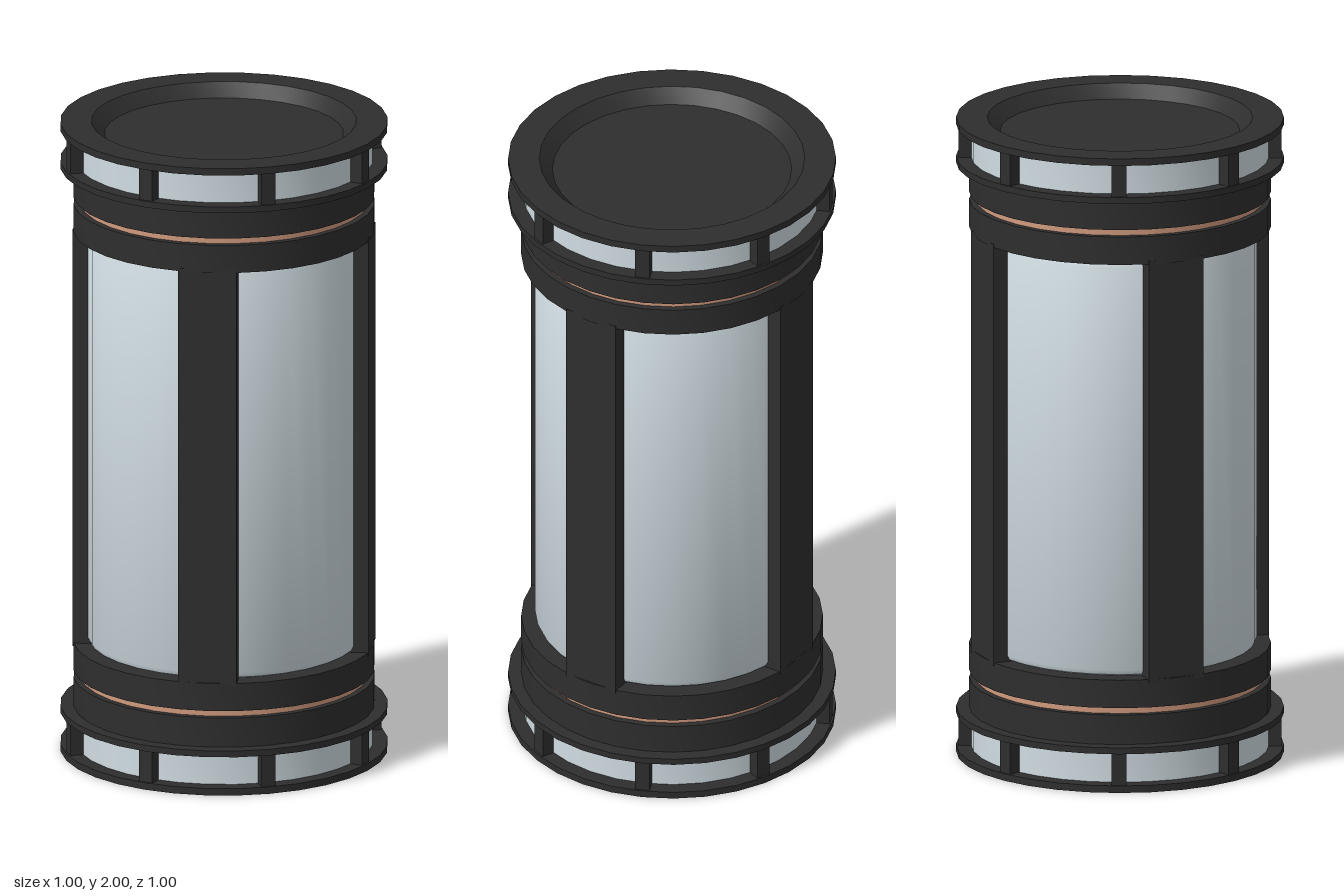
import * as THREE from 'three';
import { toCreasedNormals } from 'three/addons/utils/BufferGeometryUtils.js';

const SIDES = 32;

export function createModel() {
  const dark = new THREE.MeshStandardMaterial({ color: 0x2e2e2e });
  dark.name = 'dark metal';
  const glass = new THREE.MeshStandardMaterial({ color: 0xd0dce2 });
  glass.name = 'pale glass';
  const copper = new THREE.MeshStandardMaterial({ color: 0xd09a7e });
  copper.name = 'copper';

  const add = (parent, name, geometry, material) => {
    const mesh = new THREE.Mesh(geometry, material);
    mesh.name = name;
    parent.add(mesh);
    return mesh;
  };
  // Turned solid from [radius, height] pairs, listed bottom to top
  const turned = (points) => toCreasedNormals(
    new THREE.LatheGeometry(points.map(([r, y]) => new THREE.Vector2(r, y)), SIDES), 0.5);
  const band = (r, y0, y1) => turned([[0, y0], [r, y0], [r, y1], [0, y1]]);

  // One end: dished plate, caged glass band, flange, collars and copper seam
  const makeEnd = (name) => {
    const end = new THREE.Group();
    end.name = name;
    add(end, 'endPlate', turned([
      [0, 0.04], [0.365, 0.04], [0.405, 0], [0.5, 0], [0.5, 0.022], [0.44, 0.022], [0.43, 0.06], [0, 0.06],
    ]), dark);
    add(end, 'glassBand', turned([[0.455, 0.02], [0.455, 0.13]]), glass);
    add(end, 'flange', band(0.5, 0.122, 0.142), dark);
    add(end, 'outerCollar', band(0.46, 0.14, 0.235), dark);
    add(end, 'copperSeam', band(0.44, 0.23, 0.262), copper);
    add(end, 'innerCollar', band(0.46, 0.257, 0.345), dark);

    // Short bars caging the glass band
    for (let i = 0; i < 8; i++) {
      const angle = (i + 0.5) * Math.PI / 4;
      const bar = add(end, 'cageBar', new THREE.BoxGeometry(0.045, 0.106, 0.06), dark);
      bar.position.set(Math.sin(angle) * 0.463, 0.072, Math.cos(angle) * 0.463);
      bar.rotation.y = angle;
    }
    return end;
  };

  const model = new THREE.Group();
  model.name = 'canister';
  const top = makeEnd('topEnd');
  top.rotation.x = Math.PI;
  top.position.y = 2;
  model.add(makeEnd('bottomEnd'), top);

  // Glass core with rounded shoulders
  add(model, 'glassCore', turned([
    [0, 0.345], [0.4, 0.345], [0.411, 0.35], [0.418, 0.365],
    [0.418, 1.635], [0.411, 1.65], [0.4, 1.655], [0, 1.655],
  ]), glass);

  // Four upright pillars on the diagonals
  for (let i = 0; i < 4; i++) {
    const angle = (i + 0.5) * Math.PI / 2;
    const pillar = add(model, 'pillar', new THREE.BoxGeometry(0.18, 1.33, 0.08), dark);
    pillar.position.set(Math.sin(angle) * 0.414, 1, Math.cos(angle) * 0.414);
    pillar.rotation.y = angle;
  }
  return model;
}
